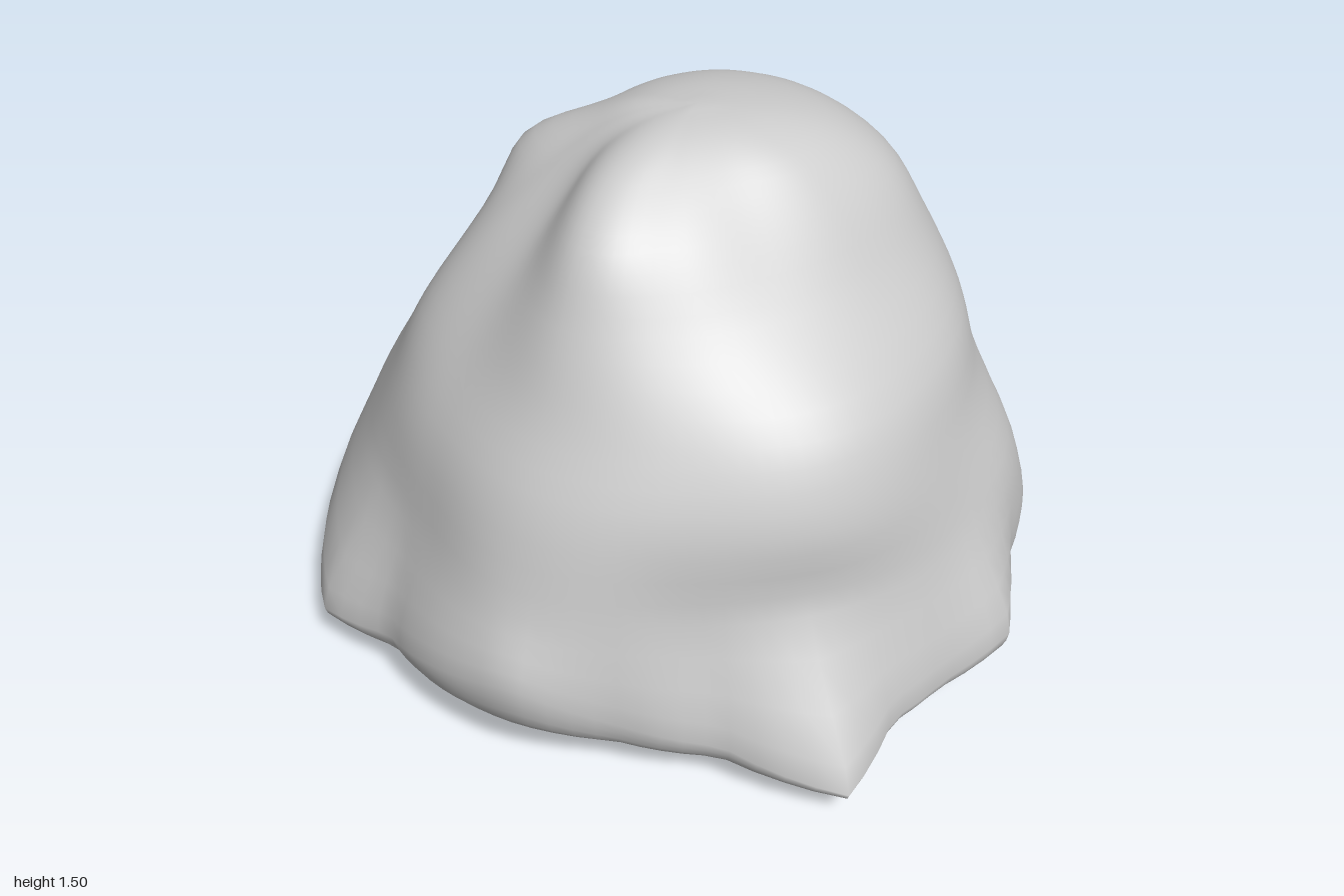
import * as THREE from 'three';
import { mergeVertices } from 'three/addons/utils/BufferGeometryUtils.js';

// Jagged foot outline as [x, z, height of the widest point], going from +x towards +z
const FOOT = [
  [1, 0, 0.2], [0.9, 0.2, 0.16], [0.83, 0.38, 0.15], [0.82, 0.63, 0.11], [0.5, 0.68, 0.17],
  [0.25, 0.78, 0.22], [0.03, 0.89, 0.33], [-0.22, 0.85, 0.26], [-0.45, 0.73, 0.17],
  [-0.7, 0.69, 0.13], [-0.9, 0.36, 0.2], [-1, -0.06, 0.25], [-0.9, -0.35, 0.2],
  [-0.6, -0.53, 0.17], [-0.46, -0.68, 0.15], [-0.2, -0.78, 0.2], [0.07, -0.88, 0.27],
  [0.3, -0.89, 0.28], [0.55, -0.72, 0.24], [0.85, -0.55, 0.22], [0.9, -0.25, 0.2],
];

// Upper cross-sections: height and radii every 30 degrees
const RINGS = [
  { y: 0.5, r: [0.88, 0.82, 0.77, 0.82, 0.77, 0.83, 0.89, 0.85, 0.79, 0.87, 0.9, 0.94] },
  { y: 0.75, r: [0.8, 0.81, 0.75, 0.74, 0.7, 0.73, 0.75, 0.77, 0.76, 0.83, 0.86, 0.82] },
  { y: 0.95, r: [0.73, 0.73, 0.66, 0.63, 0.59, 0.64, 0.58, 0.6, 0.64, 0.7, 0.78, 0.76] },
  { y: 1.15, r: [0.57, 0.52, 0.52, 0.54, 0.46, 0.49, 0.49, 0.45, 0.5, 0.58, 0.67, 0.66] },
  { y: 1.32, r: [0.45, 0.38, 0.4, 0.45, 0.31, 0.32, 0.42, 0.34, 0.4, 0.49, 0.56, 0.56] },
  { y: 1.43, r: [0.34, 0.27, 0.27, 0.31, 0.19, 0.18, 0.22, 0.23, 0.29, 0.37, 0.42, 0.42] },
];

const TAU = Math.PI * 2;
const footPolar = FOOT.map(([x, z, y]) => [(Math.atan2(z, x) + TAU) % TAU, Math.hypot(x, z), y]);
footPolar.push([TAU, footPolar[0][1], footPolar[0][2]]);

// Foot radius and height, linear between the outline corners
function footAt(a) {
  const i = footPolar.findIndex((corner) => corner[0] > a);
  const [a0, r0, y0] = footPolar[i - 1], [a1, r1, y1] = footPolar[i];
  const t = (a - a0) / (a1 - a0);
  return [THREE.MathUtils.lerp(r0, r1, t), THREE.MathUtils.lerp(y0, y1, t)];
}

// Smooth periodic interpolation of a ring's radii
function ringRadius(r, a) {
  const n = r.length, f = (a / TAU) * n, i = Math.floor(f), t = f - i;
  const [p, q, s, u] = [-1, 0, 1, 2].map((k) => r[(i + k + n) % n]);
  return q + 0.5 * t * (s - p + t * (2 * p - 5 * q + 4 * s - u + t * (3 * (q - s) + u - p)));
}

// Profile of the boulder at one angle, from the underside to the summit
function profile(a) {
  const [foot, footY] = footAt(a);
  const hollow = 0.05 * Math.max(0, Math.sin(a)) ** 2; // underside rises towards the front
  const at = (r, y, cx = 0) => new THREE.Vector3(cx + r * Math.cos(a), y, r * Math.sin(a));
  const top = ringRadius(RINGS[RINGS.length - 1].r, a);
  return new THREE.CatmullRomCurve3([
    new THREE.Vector3(0.2, 0, -0.15),
    at(foot * 0.5, 0.03 + hollow),
    at(foot * 0.82, 0.04 + footY * 0.1 + hollow),
    at(foot * 0.95, 0.02 + footY * 0.45),
    at(foot, footY),
    ...RINGS.map(({ y, r }) => at(ringRadius(r, a), y)),
    at(top * 0.55, 1.485, 0.03),
    new THREE.Vector3(0.07, 1.505, -0.02),
  ]);
}

export function createModel() {
  const around = 96, up = 48, positions = [], index = [];
  for (let i = 0; i < around; i++) {
    const curve = profile((i / around) * TAU);
    for (let j = 0; j <= up; j++) positions.push(...curve.getPoint(j / up).toArray());
    for (let j = 0; j < up; j++) {
      const a = i * (up + 1) + j, b = ((i + 1) % around) * (up + 1) + j;
      if (j < up - 1) index.push(a, a + 1, b + 1);
      if (j > 0) index.push(a, b + 1, b);
    }
  }
  let geometry = new THREE.BufferGeometry();
  geometry.setAttribute('position', new THREE.Float32BufferAttribute(positions, 3));
  geometry.setIndex(index);
  geometry = mergeVertices(geometry, 1e-4); // weld the two poles
  geometry.computeVertexNormals();

  const boulder = new THREE.Mesh(geometry, new THREE.MeshStandardMaterial({ color: 0xcccccc }));
  boulder.name = 'boulder';
  const group = new THREE.Group();
  group.name = 'rock';
  group.add(boulder);
  return group;
}
